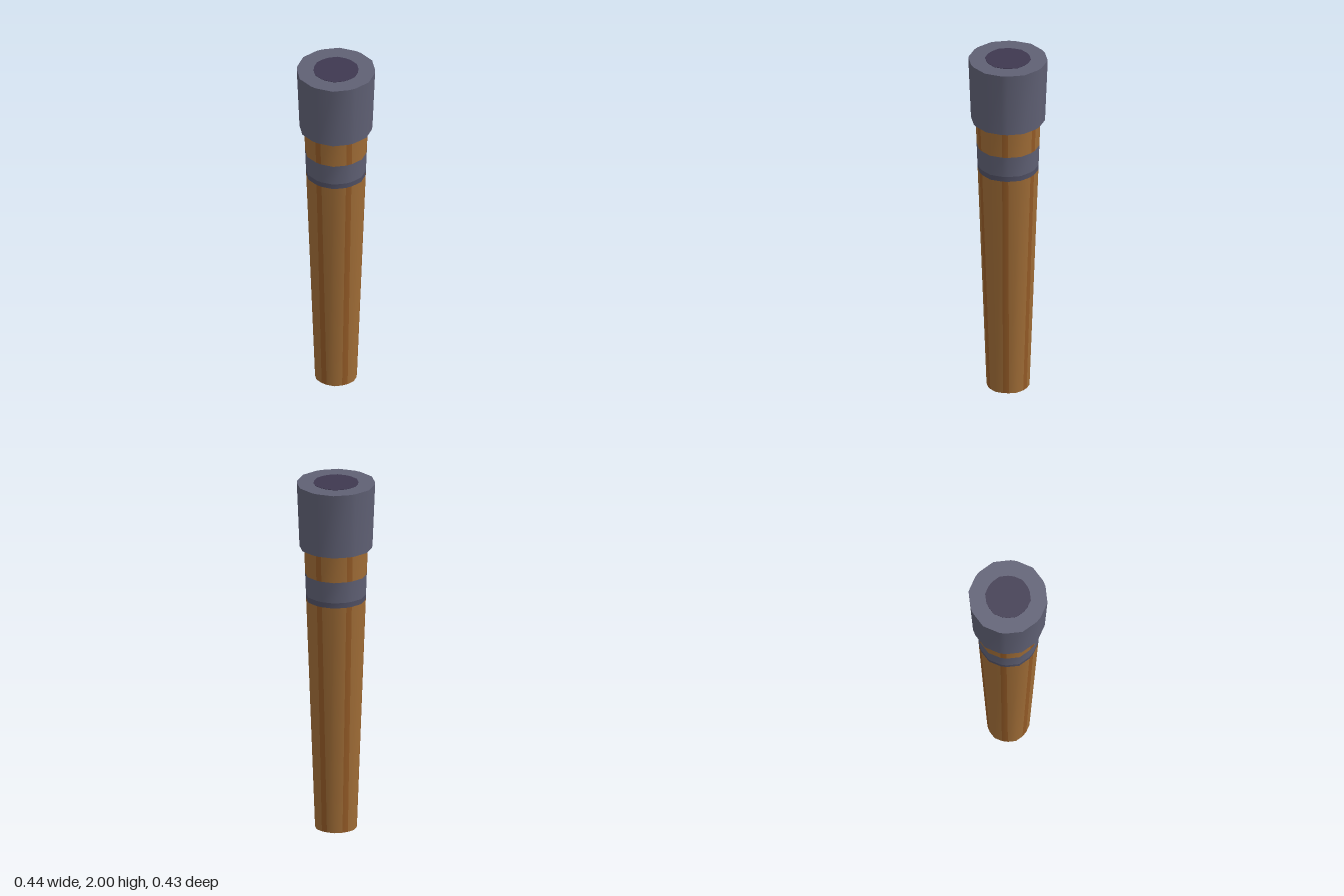
import * as THREE from 'three';
import { toCreasedNormals } from 'three/addons/utils/BufferGeometryUtils.js';

const paint = (color) => new THREE.MeshStandardMaterial({ color });

// Tapered prism: a 12-sided section whose alternate corners are cut by narrow flats
function taperedPrism(rBottom, rTop, y0, y1, flat = 0.017) {
  const sides = 18;
  const g = new THREE.CylinderGeometry(rTop, rBottom, y1 - y0, sides, 1, false, Math.PI / 2);
  g.translate(0, (y0 + y1) / 2, 0);
  const p = g.attributes.position;
  for (let i = 0; i < p.count; i++) {
    const x = p.getX(i), z = p.getZ(i), r = Math.hypot(x, z);
    if (r < 1e-5) continue;
    const k = (Math.round(Math.atan2(z, x) / (Math.PI / 9)) + sides) % sides;
    const sector = Math.floor(k / 3) * Math.PI / 3;
    let angle = sector, radius = r;
    if (k % 3) {
      const half = Math.asin(flat / r);
      angle = sector + Math.PI / 6 + (k % 3 === 1 ? -half : half);
      radius = r * Math.cos(Math.PI / 12) / Math.cos(Math.PI / 12 - half);
    }
    p.setX(i, radius * Math.cos(angle));
    p.setZ(i, radius * Math.sin(angle));
  }
  return toCreasedNormals(g, 0.6);
}

export function createModel() {
  const model = new THREE.Group();
  const wood = paint(0x9f6c36), grain = paint(0x935a26);
  const metal = paint(0x5f6074), darkMetal = paint(0x505064), hollow = paint(0x3e3850);

  const add = (name, geometry, material) => {
    const mesh = new THREE.Mesh(geometry, material);
    mesh.name = name;
    model.add(mesh);
  };

  // Stem radius follows one straight taper
  const stemRadius = (y) => 0.118 + 0.0368 * y;
  const stemPart = (y0, y1) => taperedPrism(stemRadius(y0), stemRadius(y1), y0, y1);

  // Wooden lengths, with a darker grain streak on each narrow flat
  const woodPart = (y0, y1) => {
    const g = stemPart(y0, y1);
    g.clearGroups();
    for (let i = 0; i < 18; i++) g.addGroup(i * 6, 6, i % 3 === 1 ? 1 : 0);
    g.addGroup(108, g.attributes.position.count - 108, 0);
    return g;
  };
  add('lowerStem', woodPart(0, 1.325), [wood, grain]);
  add('upperStem', woodPart(1.475, 1.7), [wood, grain]);

  // Flush band with a thin darker lower edge
  add('bandEdge', stemPart(1.325, 1.355), darkMetal);
  add('band', stemPart(1.355, 1.475), metal);

  // Collar and the dark opening in its top
  add('collar', taperedPrism(0.203, 0.218, 1.63, 1.998), metal);
  add('opening', taperedPrism(0.126, 0.126, 1.99, 2), hollow);

  return model;
}
